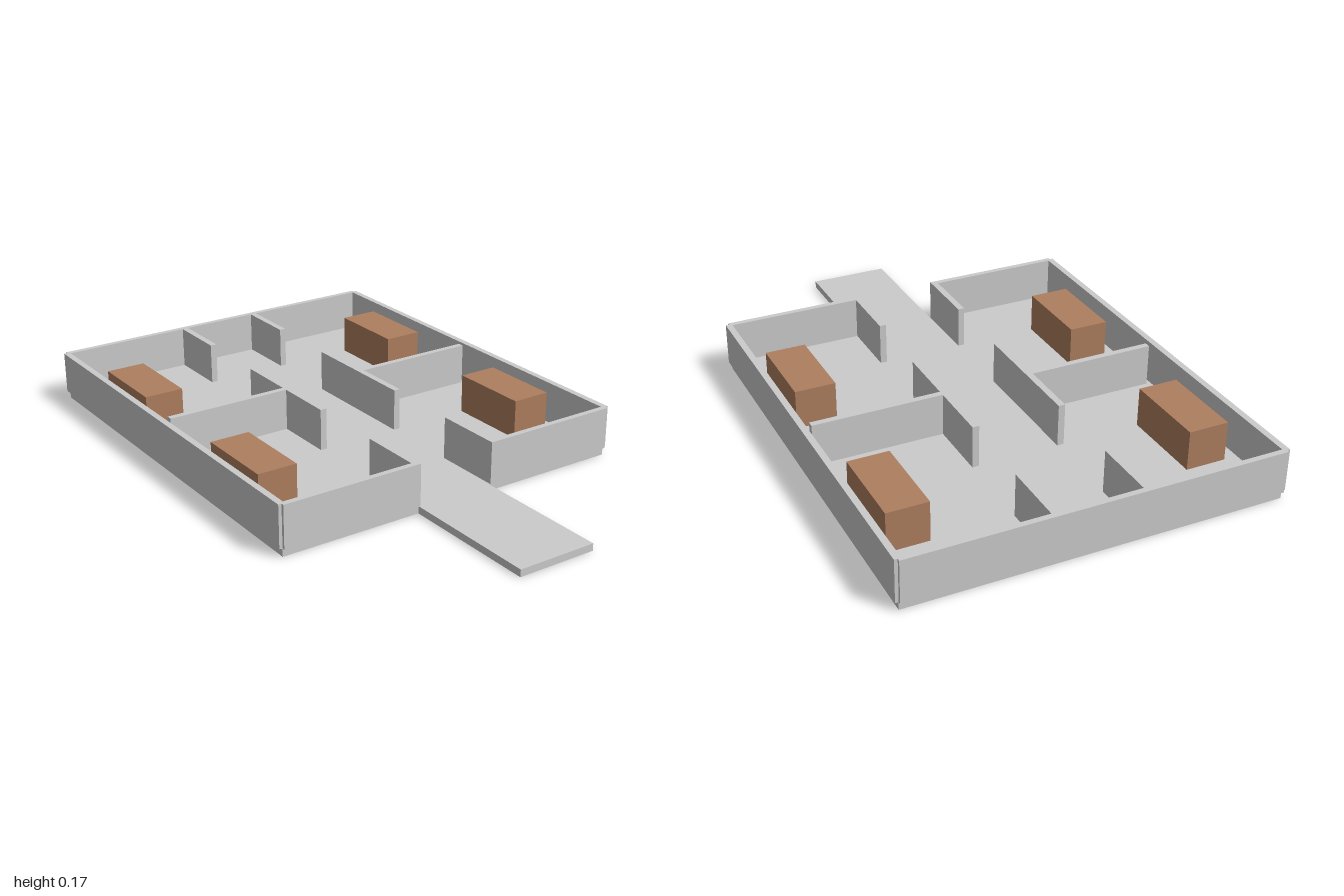
import * as THREE from 'three';

export function createModel() {
  const model = new THREE.Group();
  model.name = 'floorPlan';
  const grey = new THREE.MeshStandardMaterial({ color: 0xcccccc });
  const brown = new THREE.MeshStandardMaterial({ color: 0xae7e5e });

  // Box given by its extents along each axis
  const block = (name, [x0, x1], [y0, y1], [z0, z1], material = grey) => {
    const mesh = new THREE.Mesh(new THREE.BoxGeometry(Math.abs(x1 - x0), y1 - y0, z1 - z0), material);
    mesh.position.set((x0 + x1) / 2, (y0 + y1) / 2, (z0 + z1) / 2);
    mesh.name = name;
    model.add(mesh);
  };

  const slabY = [0, 0.025];
  const wallY = [0.028, 0.175];
  const benchY = [0.026, 0.163];

  // Floor slab and entrance walkway
  block('floor', [-0.637, 0.637], slabY, [-0.988, 0.51]);
  block('walkway', [-0.14, 0.14], slabY, [0.51, 1]);

  // Back outer wall
  block('backWall', [-0.637, 0.637], wallY, [-1, -0.98]);

  for (const [side, s] of [['left', 1], ['right', -1]]) {
    const span = (a, b) => [s * a, s * b];

    // Outer walls, with the front split by the entrance
    block(side + 'SideWall', span(0.626, 0.648), wallY, [-0.99, 0.51]);
    block(side + 'FrontWall', span(0.14, 0.637), wallY, [0.5, 0.52]);

    // Corridor walls with door gaps between them
    [[-0.98, -0.76], [-0.47, -0.01], [0.275, 0.5]].forEach((z, i) =>
      block(side + 'CorridorWall' + (i + 1), span(0.14, 0.163), wallY, z));

    // Partition between the two rooms
    block(side + 'Partition', span(0.163, 0.61), wallY, [-0.25, -0.228]);

    // One wooden bed block in each room
    block(side + 'BackBed', span(0.44, 0.58), benchY, [-0.765, -0.467], brown);
    block(side + 'FrontBed', span(0.44, 0.58), benchY, [-0.013, 0.28], brown);
  }
  return model;
}
